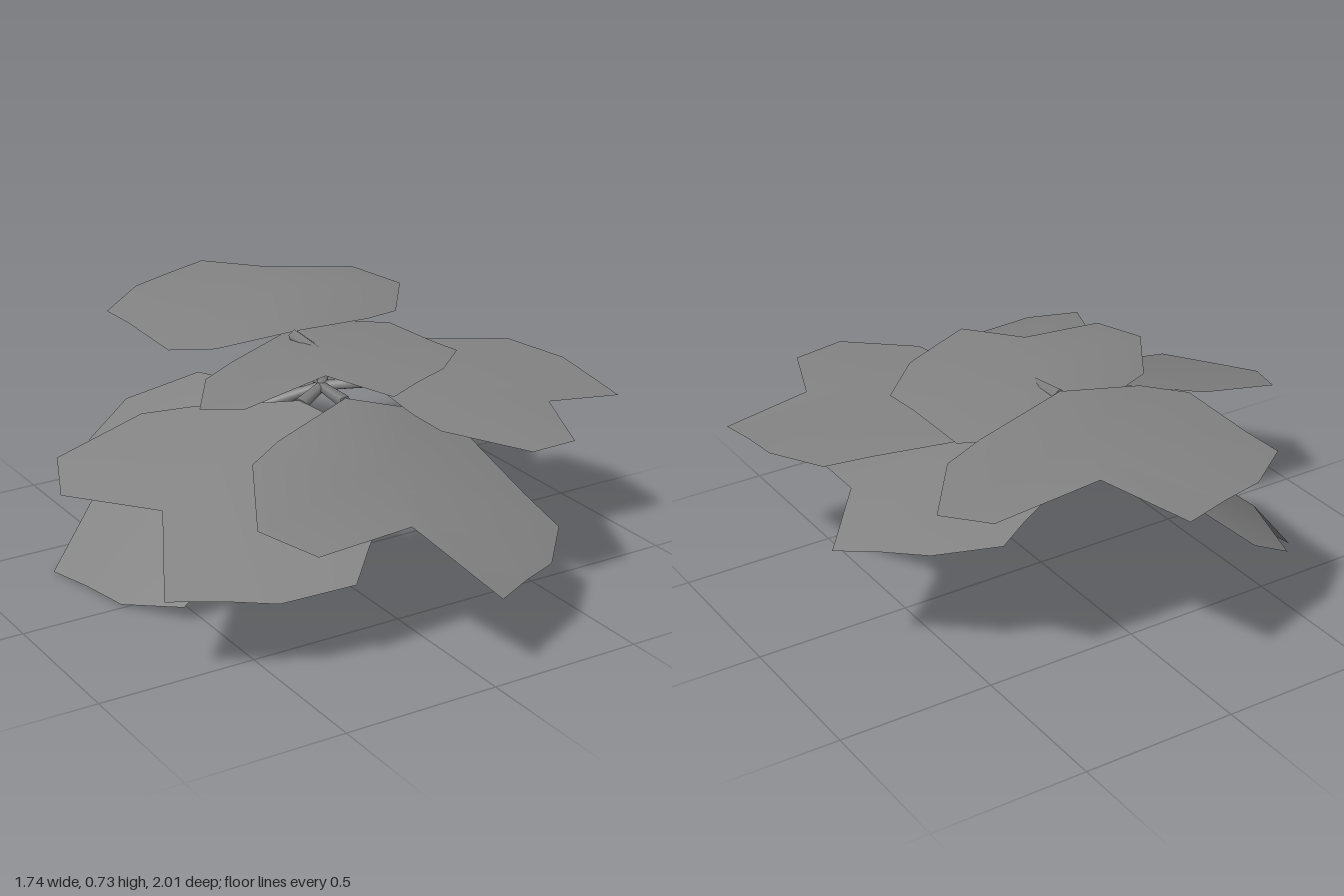
import * as THREE from 'three';

const leafMaterial = new THREE.MeshStandardMaterial({ color: 0x848484, side: THREE.DoubleSide });
const stalkMaterial = new THREE.MeshStandardMaterial({ color: 0x848484 });

// Shared leaf outline as [across, along], counterclockwise from the notch at the tip
const outline = [
  [0, 1], [0.2, 1.41], [0.32, 1.27], [0.44, 1.14], [0.55, 0.84], [0.49, 0.6], [0.39, 0.11], [0.25, -0.01],
  [0, 0], [-0.27, 0.24], [-0.38, 0.38], [-0.45, 0.84], [-0.31, 1.08],
];

// Each leaf: base of the blade, notch at the tip, left shoulder, right shoulder
const leaves = [
  { name: 'topBackLeaf', base: [0.05, 0.71, -0.18], notch: [0.28, 0.735, -0.73], left: [-0.31, 0.67, -0.77], right: [0.69, 0.66, -0.54] },
  { name: 'topFrontLeaf', base: [0.1, 0.68, -0.28], notch: [-0.07, 0.705, 0.2], left: [0.45, 0.67, 0.14], right: [-0.45, 0.645, 0.11] },
  { name: 'frontLeaf', base: [0, 0.62, 0.2], notch: [-0.135, 0.445, 0.765], left: [0.44, 0.285, 0.7], right: [-0.57, 0.49, 0.65] },
  { name: 'rightFrontLeaf', base: [-0.1, 0.6, 0.1], notch: [-0.68, 0.445, 0.3], left: [-0.29, 0.285, 0.72], right: [-0.8, 0.48, -0.14] },
  { name: 'rightBackLeaf', base: [-0.12, 0.55, -0.07], notch: [-0.535, 0.24, -0.4], left: [-0.56, 0.06, 0.19], right: [-0.26, 0.36, -0.75] },
  { name: 'leftFrontLeaf', base: [0.13, 0.63, 0.1], notch: [0.57, 0.58, 0.46], left: [0.77, 0.6, -0.03], right: [0.3, 0.57, 0.74] },
  { name: 'leftBackLeaf', base: [0.18, 0.6, -0.05], notch: [0.71, 0.535, -0.08], left: [0.47, 0.485, -0.53], right: [0.55, 0.54, 0.3] },
];

const vec = (p) => new THREE.Vector3(...p);

// Blade folded along its midrib, with the shared outline stretched to the leaf's shoulders
function makeBlade({ base, notch, left, right }) {
  const origin = vec(base);
  const along = vec(notch).sub(origin);
  const middle = origin.clone().addScaledVector(along, 0.84);
  const toLeft = vec(left).sub(middle).divideScalar(0.55);
  const toRight = vec(right).sub(middle).divideScalar(0.45);
  const place = ([a, b]) => {
    const p = origin.clone().addScaledVector(along, b).addScaledVector(a > 0 ? toLeft : toRight, Math.abs(a));
    p.y -= 0.13 * Math.max(0, b - 1) ** 2; // the tips droop
    return p;
  };

  const center = place([0, 0.6]);
  center.y += 0.012;
  const geometry = new THREE.BufferGeometry().setFromPoints([center, ...outline.map(place)]);
  const index = [];
  for (let i = 0; i < outline.length; i++) index.push(0, i + 1, ((i + 1) % outline.length) + 1);
  geometry.setIndex(index);
  geometry.computeVertexNormals();
  return new THREE.Mesh(geometry, leafMaterial);
}

// Thin stalk tapering between two points
function makeStalk(from, to) {
  const span = to.clone().sub(from);
  const stalk = new THREE.Mesh(new THREE.CylinderGeometry(0.022, 0.016, span.length(), 5), stalkMaterial);
  stalk.position.copy(from).addScaledVector(span, 0.5);
  stalk.quaternion.setFromUnitVectors(new THREE.Vector3(0, 1, 0), span.normalize());
  stalk.name = 'stalk';
  return stalk;
}

export function createModel() {
  const plant = new THREE.Group();
  plant.name = 'leafCluster';
  const crown = new THREE.Vector3(0.02, 0.6, 0.03);
  const bend = new THREE.Vector3(0.055, 0.68, 0);

  for (const leaf of leaves) {
    const group = new THREE.Group();
    group.name = leaf.name;
    const blade = makeBlade(leaf);
    blade.name = 'blade';
    group.add(blade);

    // The highest stalk bends over the leaf below it
    const end = vec(leaf.base);
    end.y -= 0.015;
    const path = leaf.name === 'topBackLeaf' ? [crown, bend, end] : [crown, end];
    for (let i = 1; i < path.length; i++) group.add(makeStalk(path[i - 1], path[i]));
    plant.add(group);
  }
  return plant;
}
